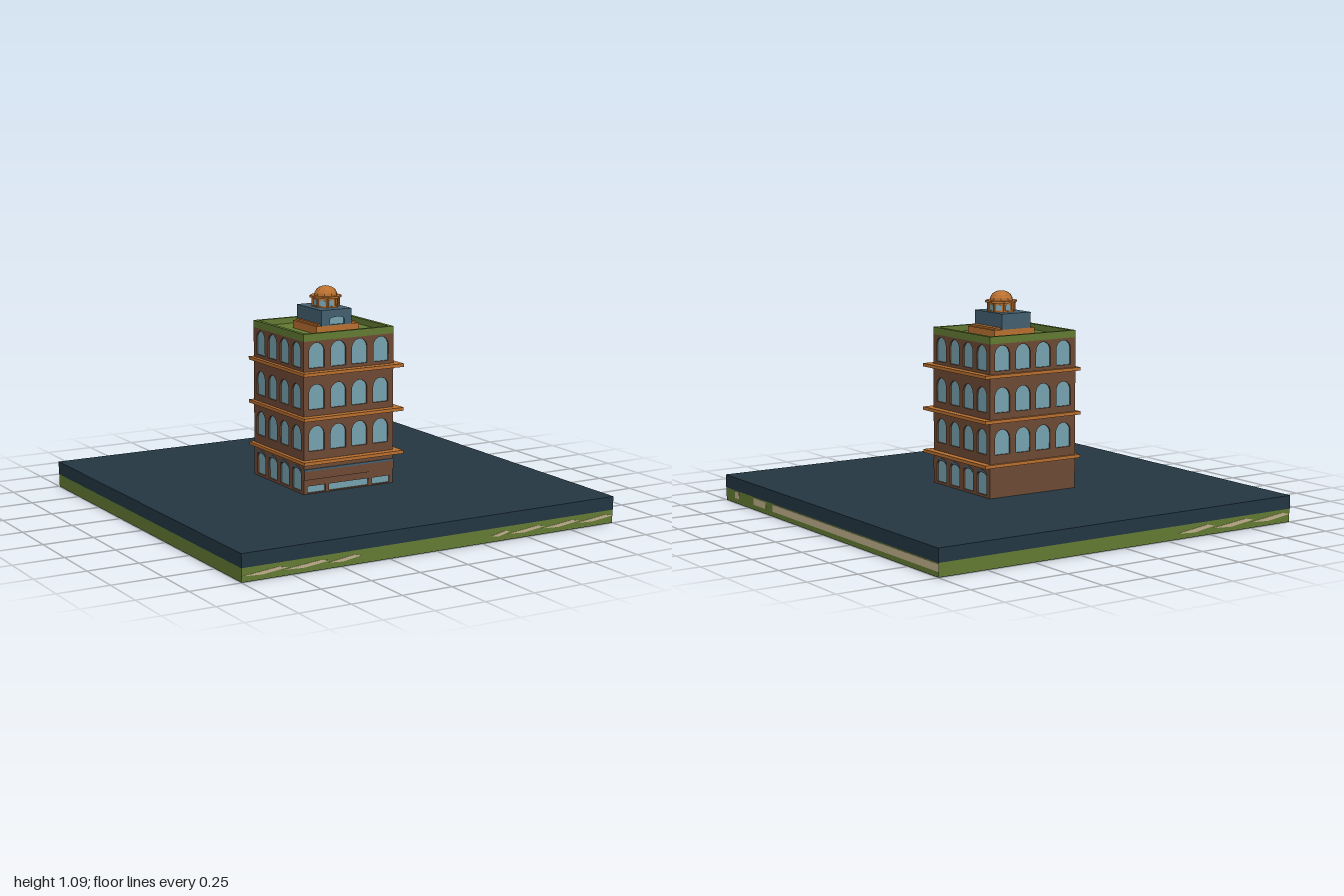
import * as THREE from 'three';

const mat = (name, color, extra = {}) => {
  const m = new THREE.MeshStandardMaterial({ color, ...extra });
  m.name = name;
  return m;
};

// Arched outline: straight jambs with a half-ellipse on top
function arch(path, cx, y0, w, h, ry) {
  path.moveTo(cx - w / 2, y0);
  path.lineTo(cx + w / 2, y0);
  path.lineTo(cx + w / 2, y0 + h - ry);
  path.absellipse(cx, y0 + h - ry, w / 2, ry, 0, Math.PI, false);
  path.lineTo(cx - w / 2, y0);
  return path;
}

function rect(path, x0, y0, x1, y1) {
  path.moveTo(x0, y0);
  path.lineTo(x1, y0);
  path.lineTo(x1, y1);
  path.lineTo(x0, y1);
  path.lineTo(x0, y0);
  return path;
}

export function createModel() {
  const navy = mat('navy', 0x243743);
  const green = mat('green', 0x637b32);
  const tan = mat('tan', 0xc0b08c);
  const brick = mat('brick', 0x6e4a35);
  const copper = mat('copper', 0xba7030, { flatShading: true });
  const glass = mat('glass', 0x76a3b0);
  const slate = mat('slate', 0x446070);

  const model = new THREE.Group();
  const add = (name, geometry, material, parent = model) => {
    const mesh = new THREE.Mesh(geometry, material);
    mesh.name = name;
    parent.add(mesh);
    return mesh;
  };
  // Box given by its lower and upper corners
  const box = (name, a, b, material, parent) => {
    const m = add(name, new THREE.BoxGeometry(b[0] - a[0], b[1] - a[1], b[2] - a[2]), material, parent);
    m.position.set((a[0] + b[0]) / 2, (a[1] + b[1]) / 2, (a[2] + b[2]) / 2);
    return m;
  };
  const extrude = (shape, depth) =>
    new THREE.ExtrudeGeometry(shape, { depth, bevelEnabled: false, curveSegments: 12 });

  // Ground slab: lawn layer below, paving above, dark underside
  box('lawnLayer', [-0.998, 0.002, -0.998], [0.998, 0.065, 0.998], green);
  box('underside', [-0.998, 0, -0.998], [0.998, 0.002, 0.998], navy);
  box('paving', [-1, 0.065, -1], [1, 0.13, 1], navy);

  // Sand strips along the edge of the slab
  for (const [z0, z1] of [[-1, 0.5], [0.575, 0.7], [0.86, 0.9]])
    box('sandStrip', [0.997, 0.025, z0], [1, 0.06, z1], tan);
  const sliver = (x0, x1, y, h, z, turn) => {
    const w = x1 - x0;
    const s = new THREE.Shape([
      [0, 0], [w * 0.45, -h * 0.3], [w, h * 0.5], [w * 0.8, h], [w * 0.4, h * 0.5],
    ].map(([x, v]) => new THREE.Vector2(x, v)));
    const m = add('sandSliver', extrude(s, 0.002), tan);
    m.position.set(turn ? x1 : x0, y, z);
    if (turn) m.rotation.y = Math.PI;
  };
  for (const [x0, x1] of [[-1, -0.77], [-0.8, -0.56], [-0.57, -0.4], [0.29, 0.4], [0.39, 0.6], [0.58, 0.8], [0.78, 1]])
    sliver(x0, x1, 0.028, 0.018, 0.998, false);
  for (const [x0, x1] of [[-1, -0.75], [-0.77, -0.52], [-0.53, -0.31]])
    sliver(x0, x1, 0.028, 0.022, -0.998, true);

  // Tower: glazed core wrapped by brick walls with window openings
  const tower = new THREE.Group();
  tower.name = 'tower';
  tower.position.set(-0.01, 0, -0.014);
  model.add(tower);
  const H = 0.249, T = 0.008;
  const columns = [-0.178, -0.059, 0.059, 0.178];
  box('glazing', [-H + T, 0.13, -H + T], [H - T, 0.868, H - T], glass, tower);

  for (let side = 0; side < 4; side++) {
    const face = new THREE.Group();
    face.name = ['frontFace', 'leftFace', 'backFace', 'rightFace'][side];
    face.rotation.y = side * Math.PI / 2;
    tower.add(face);
    const wall = rect(new THREE.Shape(), -H, 0.13, H, 0.87);
    for (const x of columns) {
      for (const y of [0.338, 0.54, 0.74])
        wall.holes.push(arch(new THREE.Path(), x, y, 0.084, 0.12, 0.042));
      if (side % 2) {
        wall.holes.push(arch(new THREE.Path(), x, 0.142, 0.084, 0.106, 0.022));
        // Thin hood over each ground floor window
        const hood = new THREE.Shape();
        hood.absellipse(x, 0.24, 0.044, 0.022, 0, Math.PI, false);
        hood.absellipse(x, 0.24, 0.036, 0.014, Math.PI, 0, true);
        add('windowHood', extrude(hood, 0.003), slate, face).position.z = H;
      }
    }
    if (side === 0)
      for (const [x0, x1] of [[-0.23, -0.13], [-0.11, 0.11], [0.13, 0.23]])
        wall.holes.push(rect(new THREE.Path(), x0, 0.135, x1, 0.168));
    add('wall', extrude(wall, T), brick, face).position.z = H - T;

    // Parapet around the roof
    box('parapet', [-H, 0.87, H - 0.02], [H, 0.905, H], green, face);
  }
  // Shop band across the entrance side
  box('shopBand', [-H, 0.2, H], [H, 0.242, H + 0.006], brick, tower);
  box('shopBandTrim', [-H, 0.242, H], [H, 0.252, H + 0.007], slate, tower);
  box('roof', [-H + 0.01, 0.86, -H + 0.01], [H - 0.01, 0.876, H - 0.01], green, tower);

  // Floor ledges
  for (const y of [0.279, 0.492, 0.708])
    box('ledge', [-0.279, y, -0.279], [0.275, y + 0.016, 0.275], copper);

  // Rooftop room with an arched opening in front
  box('roomPlinth', [-0.119, 0.87, -0.119], [0.117, 0.914, 0.113], copper);
  box('roomStep', [-0.105, 0.914, -0.105], [0.105, 0.923, 0.105], copper);
  box('roomBody', [-0.094, 0.914, -0.121], [0.073, 0.99, 0.108], slate);
  const front = rect(new THREE.Shape(), -0.094, 0.914, 0.073, 0.99);
  front.holes.push(arch(new THREE.Path(), -0.007, 0.918, 0.08, 0.036, 0.012));
  add('roomFront', extrude(front, 0.009), slate).position.z = 0.108;
  box('roomWindow', [-0.05, 0.916, 0.106], [0.036, 0.956, 0.11], glass);

  // Cupola: eight-sided drum, arched panes, rim and dome
  const cupola = new THREE.Group();
  cupola.name = 'cupola';
  cupola.position.set(-0.002, 0.99, -0.002);
  model.add(cupola);
  const ring = (name, r, y, h, n = 8) => {
    const m = add(name, new THREE.CylinderGeometry(r, r, h, n), copper, cupola);
    m.position.y = y + h / 2;
    m.rotation.y = Math.PI / n;
    return m;
  };
  ring('drum', 0.06, 0, 0.045);
  ring('drumFoot', 0.066, 0, 0.006);
  ring('rim', 0.079, 0.044, 0.01);
  for (let i = 0; i < 8; i++) {
    const bay = new THREE.Group();
    bay.name = 'cupolaBay';
    bay.rotation.y = i * Math.PI / 4;
    cupola.add(bay);
    const pane = arch(new THREE.Shape(), 0, 0.007, 0.03, 0.029, 0.014);
    add('pane', extrude(pane, 0.002), glass, bay).position.z = 0.055;
    const post = add('post', new THREE.CylinderGeometry(0.006, 0.006, 0.045, 6), copper, bay);
    post.position.set(0.0245, 0.0225, 0.0591);
  }
  const profile = [[0.058, 0], [0.056, 0.013], [0.047, 0.028], [0.032, 0.039], [0.014, 0.045], [0, 0.046]]
    .map(([r, y]) => new THREE.Vector2(r, y));
  add('dome', new THREE.LatheGeometry(profile, 10), copper, cupola).position.y = 0.054;

  return model;
}
